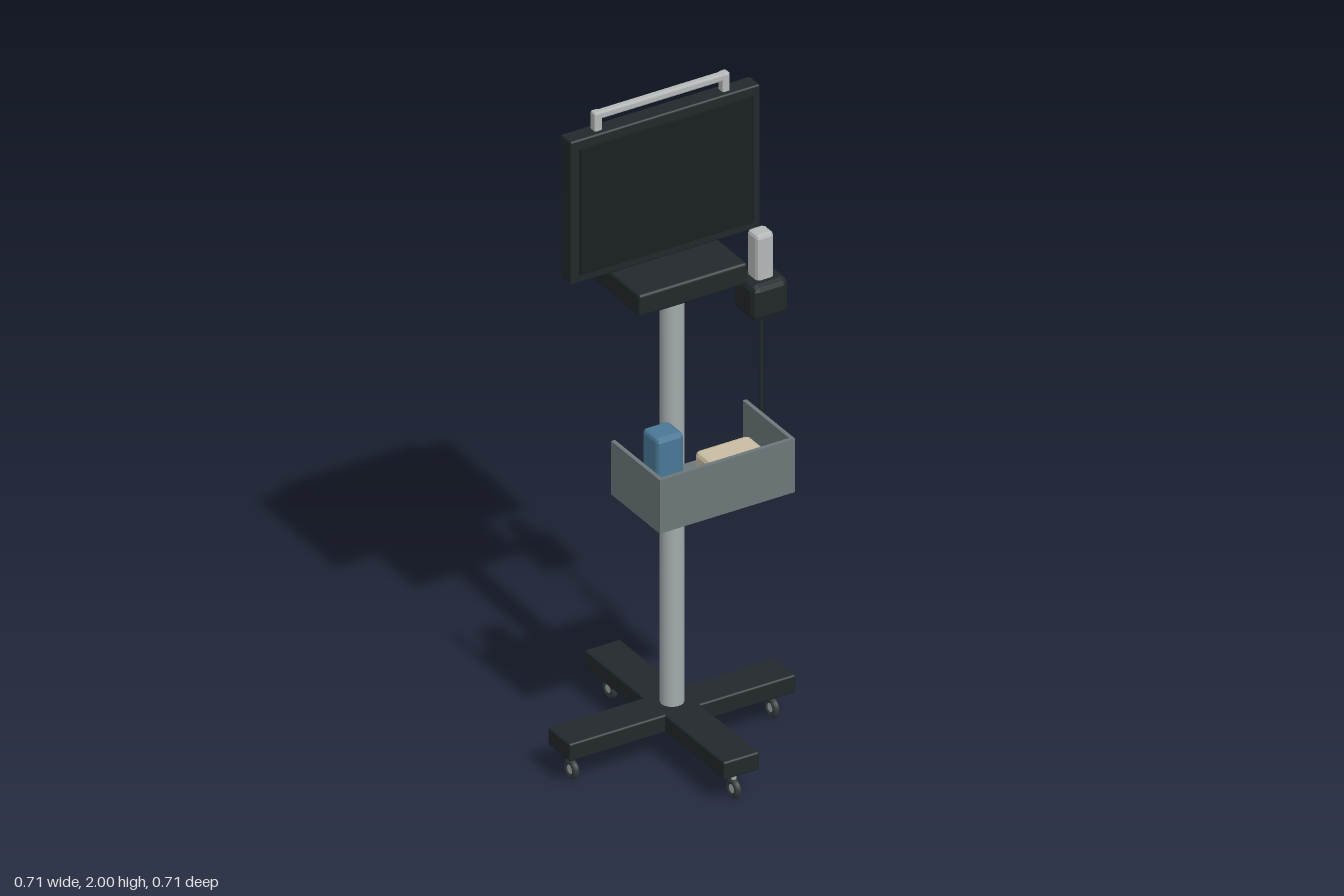
import * as THREE from 'three';
import { RoundedBoxGeometry } from 'three/addons/geometries/RoundedBoxGeometry.js';

const mat = (color, flatShading = false) => new THREE.MeshStandardMaterial({ color, flatShading });
const dark = mat(0x22282b), darkFlat = mat(0x22282b, true), glass = mat(0x1a2022);
const steel = mat(0xa3abad), steelFlat = mat(0xb5b8b8, true), trayGrey = mat(0x6c7779);
const blue = mat(0x4a7896, true), beige = mat(0xc9bda3, true), rubber = mat(0x33393b);

export function createModel() {
  const model = new THREE.Group();
  model.name = 'medicalCart';

  const add = (name, geometry, material, x, y, z, parent = model) => {
    const mesh = new THREE.Mesh(geometry, material);
    mesh.name = name;
    mesh.position.set(x, y, z);
    parent.add(mesh);
    return mesh;
  };
  // Box given by its extents; a radius gives chamfered or rounded edges
  const box = (name, material, [x0, x1], [y0, y1], [z0, z1], radius = 0, segments = 1, parent = model) => {
    const size = [x1 - x0, y1 - y0, z1 - z0];
    const geometry = radius ? new RoundedBoxGeometry(...size, segments, radius) : new THREE.BoxGeometry(...size);
    return add(name, geometry, material, (x0 + x1) / 2, (y0 + y1) / 2, (z0 + z1) / 2, parent);
  };
  const cylinder = (name, material, radius, y0, y1, x, z, sides = 24, parent = model) =>
    add(name, new THREE.CylinderGeometry(radius, radius, y1 - y0, sides), material, x, (y0 + y1) / 2, z, parent);

  // Cross-shaped foot
  box('footArmX', dark, [-0.356, 0.356], [0.09, 0.145], [-0.056, 0.056], 0.006, 2);
  box('footArmZ', dark, [-0.056, 0.056], [0.09, 0.145], [-0.356, 0.356], 0.006, 2);

  // Casters at the arm ends, all rolling along z
  for (const [x, z] of [[0.315, 0], [-0.315, 0], [0, 0.315], [0, -0.315]]) {
    const caster = new THREE.Group();
    caster.name = 'caster';
    caster.position.set(x, 0, z);
    cylinder('stem', steel, 0.007, 0.05, 0.092, 0, 0, 12, caster);
    add('tyre', new THREE.TorusGeometry(0.02, 0.01, 10, 24), rubber, 0, 0.031, 0, caster).rotation.y = Math.PI / 2;
    add('hub', new THREE.CylinderGeometry(0.013, 0.013, 0.014, 16), steel, 0, 0.031, 0, caster).rotation.z = Math.PI / 2;
    model.add(caster);
  }

  // Pole and top platform
  cylinder('pole', steel, 0.033, 0.14, 1.44, 0, 0, 32);
  box('platform', dark, [-0.17, 0.17], [1.435, 1.502], [-0.143, 0.111], 0.008, 2);

  // Monitor with a slightly raised screen
  box('monitorCase', dark, [-0.298, 0.298], [1.502, 1.945], [-0.086, -0.032], 0.006, 2);
  box('screen', glass, [-0.272, 0.272], [1.53, 1.917], [-0.04, -0.024]);

  // Carrying handle
  for (const side of [-1, 1])
    box('handlePost', steelFlat, [side * 0.201 - 0.012, side * 0.201 + 0.012], [1.94, 2], [-0.073, -0.047], 0.005);
  box('handleBar', steelFlat, [-0.2, 0.2], [1.977, 1.999], [-0.071, -0.049], 0.005);

  // Tray open at the top and back
  box('trayFloor', trayGrey, [-0.213, 0.213], [0.865, 0.89], [0.035, 0.283]);
  box('trayFront', trayGrey, [-0.213, 0.213], [0.888, 1.03], [0.271, 0.283]);
  for (const side of [-1, 1])
    box('traySide', trayGrey, [side * 0.207 - 0.006, side * 0.207 + 0.006], [0.888, 1.03], [0.035, 0.275]);

  // Tray contents
  box('bottle', blue, [-0.157, -0.073], [0.89, 1.086], [0.1, 0.183], 0.012);
  box('supplyBox', beige, [0, 0.17], [0.89, 0.975], [0.112, 0.227], 0.014);

  // Probe in its holder, with the cable hanging down
  box('probeHolder', darkFlat, [0.172, 0.284], [1.324, 1.435], [0.028, 0.14], 0.018);
  box('probe', steelFlat, [0.2, 0.255], [1.425, 1.572], [0.056, 0.111], 0.011);
  cylinder('cable', dark, 0.006, 0.89, 1.33, 0.227, 0.086, 12);

  return model;
}
